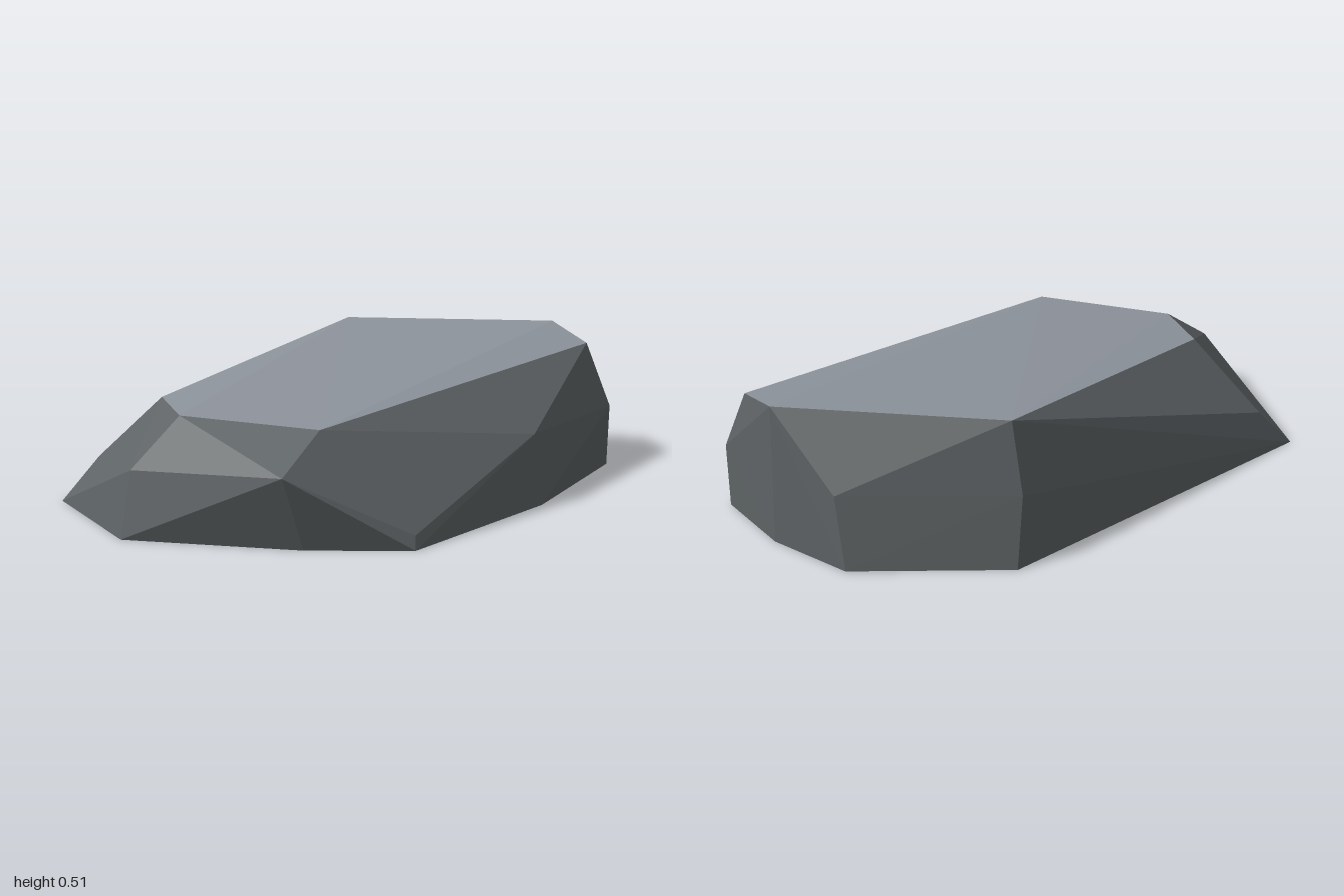
import * as THREE from 'three';
import { ConvexGeometry } from 'three/addons/geometries/ConvexGeometry.js';

// Corners of the light, worn top
const TOP = [
  [0.28, 0.51, -0.64], [0.94, 0.51, -0.2], [0.95, 0.46, 0.02], [0.4, 0.26, 0.36],
  [-0.17, 0.09, 0.6], [-0.4, 0.37, 0.45], [-0.74, 0.38, 0.08], [-0.7, 0.39, -0.17],
];
// Corners halfway up the sides
const MIDDLE = [
  [0.27, 0.26, -0.7], [0.82, 0.26, -0.43], [1, 0.23, 0.11], [0.46, 0.25, 0.42],
  [-0.18, 0.045, 0.7], [-0.6, 0.26, 0.575], [-0.945, 0.23, 0.14], [-0.86, 0.15, -0.38],
];
// Outline on the ground (x, z)
const BASE = [
  [0.3, -0.725], [0.81, -0.48], [0.95, -0.2], [1, 0.1], [0.47, 0.46],
  [-0.19, 0.72], [-0.51, 0.545], [-0.99, 0.15], [-1, -0.39],
].map(([x, z]) => [x, 0, z]);

export function createModel() {
  const rock = new THREE.Group();
  rock.name = 'rock';
  const lightStone = new THREE.MeshStandardMaterial({ color: 0x8d939b, name: 'light stone' });
  const darkStone = new THREE.MeshStandardMaterial({ color: 0x5e6365, name: 'dark stone' });
  lightStone.flatShading = darkStone.flatShading = true;

  const toVector = (p) => new THREE.Vector3(...p);
  const topCorners = TOP.map(toVector);
  const hull = new ConvexGeometry([...topCorners, ...MIDDLE.map(toVector), ...BASE.map(toVector)]);
  const position = hull.attributes.position;

  // A facet belongs to the top when all its corners do
  const corner = new THREE.Vector3();
  const isTop = (i) => {
    corner.fromBufferAttribute(position, i);
    return topCorners.some((t) => t.distanceTo(corner) < 1e-4);
  };
  const facets = { top: [], sides: [] };
  for (let i = 0; i < position.count; i += 3) {
    const part = [i, i + 1, i + 2].every(isTop) ? facets.top : facets.sides;
    for (let k = i; k < i + 3; k++) part.push(position.getX(k), position.getY(k), position.getZ(k));
  }

  const addPart = (name, points, material) => {
    const geometry = new THREE.BufferGeometry();
    geometry.setAttribute('position', new THREE.Float32BufferAttribute(points, 3));
    geometry.computeVertexNormals();
    const mesh = new THREE.Mesh(geometry, material);
    mesh.name = name;
    rock.add(mesh);
  };
  addPart('rockTop', facets.top, lightStone);
  addPart('rockSides', facets.sides, darkStone);
  return rock;
}
